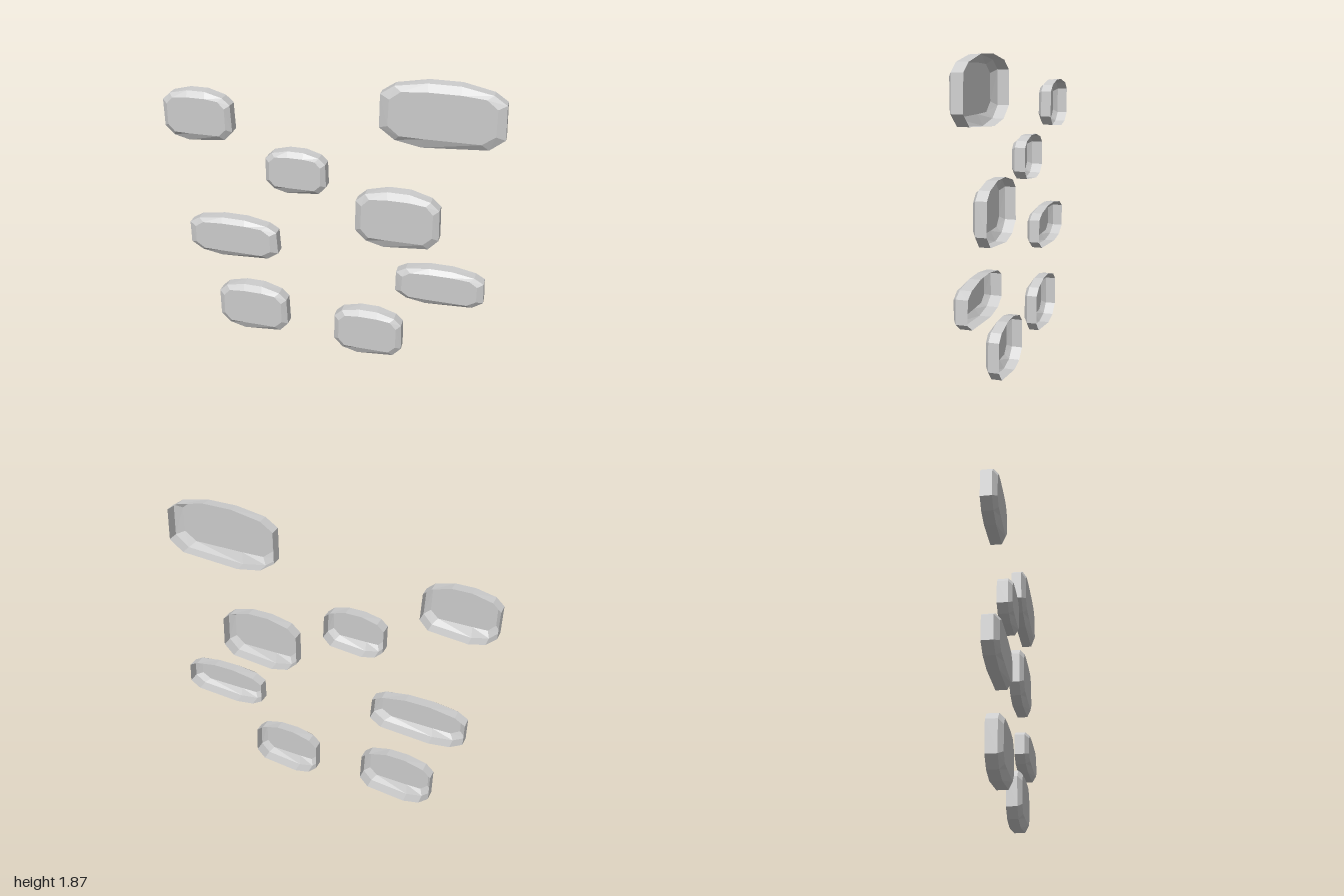
import * as THREE from 'three';

// Stone outline and its inset front face, counter-clockwise, as fractions of width and height
const RIM = [[0, 0.77], [0, 0.25], [0.13, 0.075], [0.35, 0], [0.88, 0.07], [1, 0.25],
  [0.985, 0.77], [0.88, 0.9], [0.63, 0.99], [0.37, 0.99], [0.11, 0.91]];
const FACE = [[0.08, 0.72], [0.075, 0.31], [0.17, 0.17], [0.37, 0.165], [0.82, 0.17], [0.925, 0.31],
  [0.92, 0.72], [0.83, 0.85], [0.64, 0.88], [0.38, 0.88], [0.17, 0.85]];
const BACK_Z = -0.045, EDGE_Z = 0.02, FRONT_Z = 0.045;

// left, right, bottom, top of each stone
const STONES = [
  [-1, -0.573, 1.375, 1.69],
  [-0.372, 0, 1.1, 1.375],
  [0.305, 1, 1.49, 1.866],
  [0.18, 0.683, 0.82, 1.192],
  [-0.895, -0.312, 0.595, 0.87],
  [0.44, 0.975, 0.465, 0.715],
  [-0.725, -0.26, 0.047, 0.396],
  [0.055, 0.495, 0, 0.34],
];

// Open-backed shell: straight wall, bevel, flat front
function stoneGeometry(w, h) {
  const ring = (pts, z) => pts.map(([u, v]) => [(u - 0.5) * w, (v - 0.5) * h, z]);
  // the back rim rises slightly above the front edge at the crown
  const back = RIM.map(([u, v]) => [u, v > 0.95 ? 1 : v]);
  const rings = [ring(back, BACK_Z), ring(RIM, EDGE_Z), ring(FACE, FRONT_Z)];
  const n = RIM.length;
  const pos = [];
  for (let r = 0; r < 2; r++) {
    for (let i = 0; i < n; i++) {
      const j = (i + 1) % n;
      const a = rings[r][i], b = rings[r][j], c = rings[r + 1][j], d = rings[r + 1][i];
      pos.push(...a, ...b, ...c, ...a, ...c, ...d);
    }
  }
  for (let i = 0; i < n; i++) {
    pos.push(0, 0, FRONT_Z, ...rings[2][i], ...rings[2][(i + 1) % n]);
  }
  const geo = new THREE.BufferGeometry();
  geo.setAttribute('position', new THREE.Float32BufferAttribute(pos, 3));
  geo.computeVertexNormals();
  return geo;
}

export function createModel() {
  const group = new THREE.Group();
  group.name = 'wallStones';
  const material = new THREE.MeshStandardMaterial({
    color: 0xcccccc, flatShading: true, side: THREE.DoubleSide,
  });
  STONES.forEach(([x0, x1, y0, y1], i) => {
    const stone = new THREE.Mesh(stoneGeometry(x1 - x0, y1 - y0), material);
    stone.name = `stone${i + 1}`;
    stone.position.set((x0 + x1) / 2, (y0 + y1) / 2, 0);
    group.add(stone);
  });
  return group;
}
